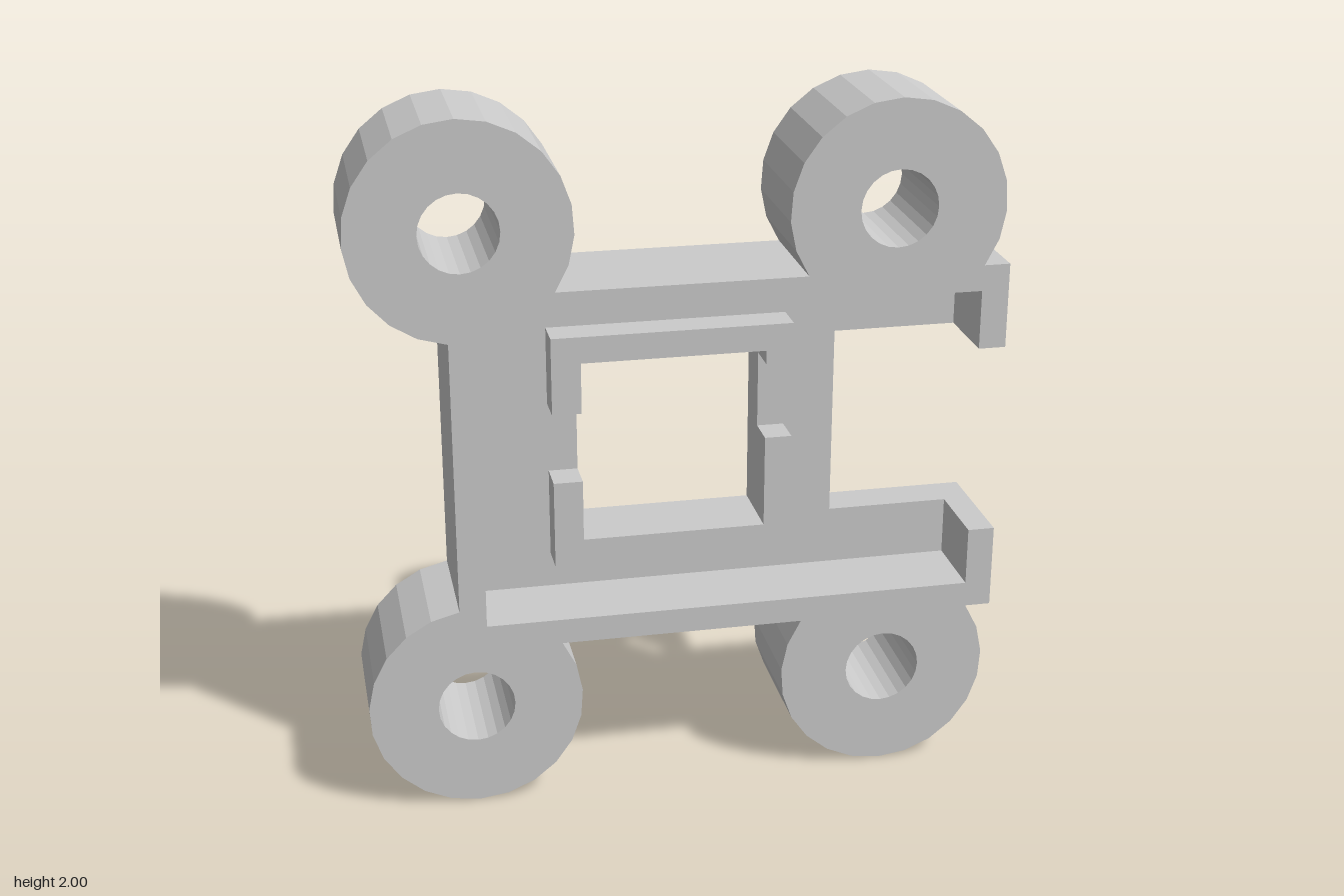
import * as THREE from 'three';

const BACK = -0.171, FLOOR = -0.055, RIDGE = 0.042, FRONT = 0.17;
const EYE_X = [-0.606, 0.585], EYE_Y = 1.696, EYE_R = 0.304, HOLE_R = 0.109;

// Points on a faceted arc from angle a0 to a1 (degrees), in equal steps
function arc(cx, cy, r, a0, a1, steps) {
  const pts = [];
  for (let i = 0; i <= steps; i++) {
    const t = THREE.MathUtils.degToRad(a0 + ((a1 - a0) * i) / steps);
    pts.push([cx + r * Math.cos(t), cy + r * Math.sin(t)]);
  }
  return pts;
}

// Closes an upper half outline with its reflection about y = 1
const mirrorY = (pts) => [...pts, ...pts.map(([x, y]) => [x, 2 - y]).reverse()];

const toVectors = (pts) => pts.map(([x, y]) => new THREE.Vector2(x, y));

export function createModel() {
  const group = new THREE.Group();
  const material = new THREE.MeshStandardMaterial({ color: 0xcccccc, flatShading: true });

  // Outlines with holes run clockwise and their holes counter-clockwise, so all walls face outward
  const addSlab = (name, outline, holes, z0, z1) => {
    const shape = new THREE.Shape(toVectors(outline));
    for (const h of holes) shape.holes.push(new THREE.Path(toVectors(h)));
    const geometry = new THREE.ExtrudeGeometry(shape, { depth: z1 - z0, bevelEnabled: false });
    geometry.translate(0, 0, z0);
    const mesh = new THREE.Mesh(geometry, material);
    mesh.name = name;
    group.add(mesh);
  };

  // Upper half of the outside edge: left wall, two mounting eyes, end of the arm
  const outerEdge = [
    ...arc(EYE_X[0], EYE_Y, EYE_R, 262.6, -35.2, 19),
    ...arc(EYE_X[1], EYE_Y, EYE_R, 215.2, -35.2, 16),
    [0.907, 1.521], [0.907, 1.278],
  ];

  // Bolt holes through the four eyes
  const boltHoles = [];
  for (const x of EYE_X) {
    for (const y of [EYE_Y, 2 - EYE_Y]) boltHoles.push(arc(x, y, HOLE_R, 0, 360, 24).slice(0, -1));
  }

  // Back plate with its window and the open slot on the side
  const window = [[-0.272, 0.735], [0.253, 0.735], [0.253, 1.268], [-0.272, 1.268]];
  addSlab('backPlate', mirrorY([...outerEdge, [0.476, 1.278]]), [...boltHoles, window], BACK, FLOOR);

  // Raised rim and eyes around the shallow pocket
  const pocketEdge = [[0.83, 1.278], [0.83, 1.447], [-0.57, 1.447]];
  addSlab('rimAndEyes', mirrorY([...outerEdge, ...pocketEdge]), boltHoles, FLOOR, FRONT);

  // Low ridge around the window, broken by a gap on each side
  addSlab('upperRidge', [
    [-0.355, 1.12], [-0.272, 1.12], [-0.272, 1.268], [0.253, 1.268],
    [0.253, 1.228], [0.33, 1.228], [0.33, 1.345], [-0.355, 1.345],
  ], [], FLOOR, RIDGE);
  addSlab('lowerRidge', [
    [-0.355, 0.657], [0.33, 0.657], [0.33, 1.005], [0.253, 1.005],
    [0.253, 0.735], [-0.272, 0.735], [-0.272, 0.915], [-0.355, 0.915],
  ], [], FLOOR, RIDGE);

  return group;
}
